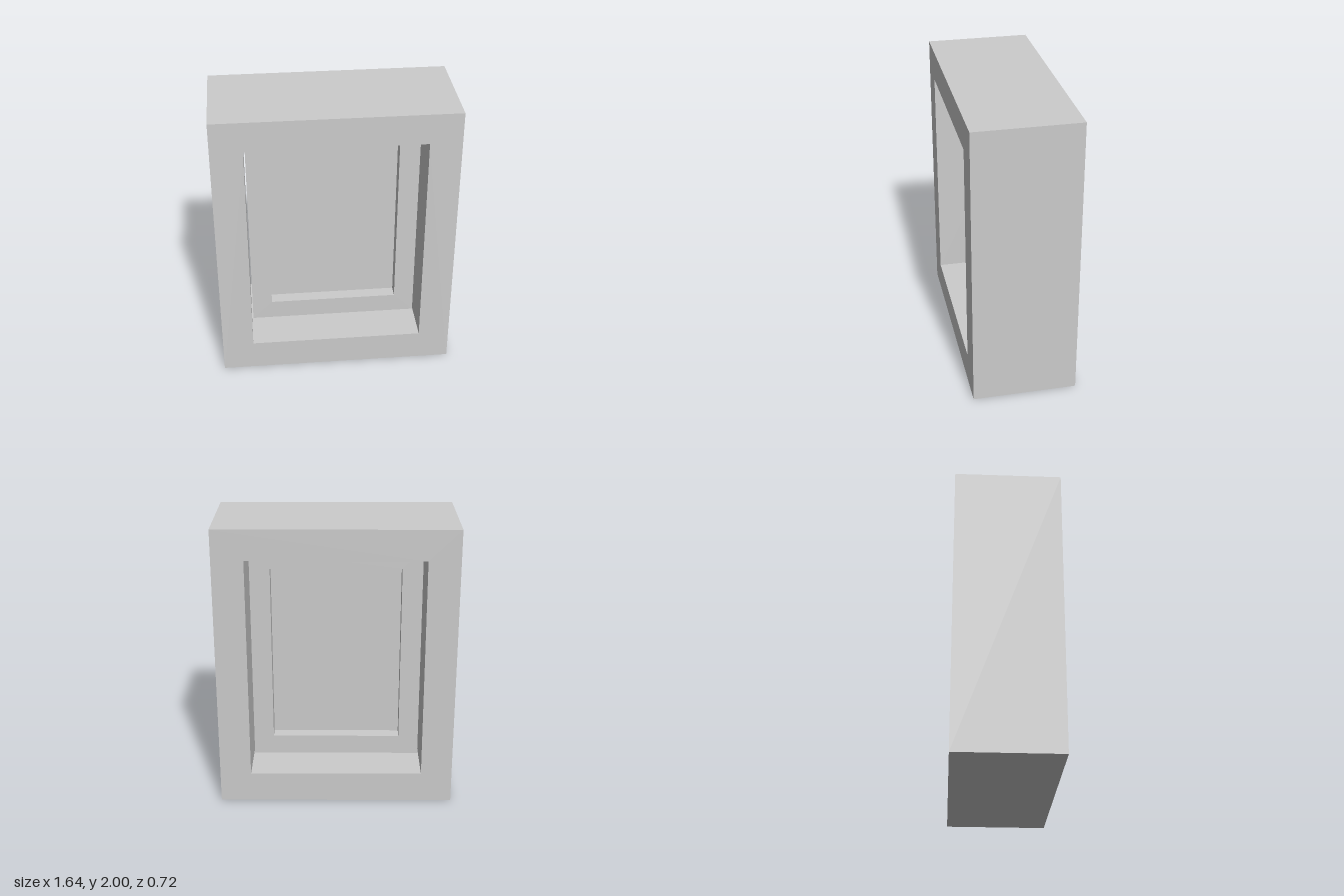
import * as THREE from 'three';

const material = new THREE.MeshStandardMaterial({ color: 0xcccccc, flatShading: true });

// Traces a rectangle given as [halfWidth, bottom, top].
function traceRect(path, [w, y0, y1]) {
  path.moveTo(-w, y0);
  path.lineTo(w, y0);
  path.lineTo(w, y1);
  path.lineTo(-w, y1);
  path.closePath();
  return path;
}

// Rectangular ring, centred in depth on z = 0.
function ring(name, outer, inner, depth) {
  const shape = traceRect(new THREE.Shape(), outer);
  shape.holes.push(traceRect(new THREE.Path(), inner));
  const geometry = new THREE.ExtrudeGeometry(shape, { depth, bevelEnabled: false });
  geometry.translate(0, 0, -depth / 2);
  const mesh = new THREE.Mesh(geometry, material);
  mesh.name = name;
  return mesh;
}

export function createModel() {
  const group = new THREE.Group();
  group.name = 'window';

  const opening = [0.603, 0.215, 1.788];
  const glazing = [0.452, 0.384, 1.653];

  // Deep outer surround
  group.add(ring('outerFrame', [0.82, 0, 2], opening, 0.72));

  // Sash, with a narrow gap at the sides and a wider one at the sill
  group.add(ring('sash', [0.593, 0.245, 1.788], glazing, 0.208));

  // Pane filling the sash
  const [w, y0, y1] = glazing;
  const pane = new THREE.Mesh(new THREE.BoxGeometry(2 * w, y1 - y0, 0.03), material);
  pane.position.y = (y0 + y1) / 2;
  pane.name = 'pane';
  group.add(pane);

  return group;
}
